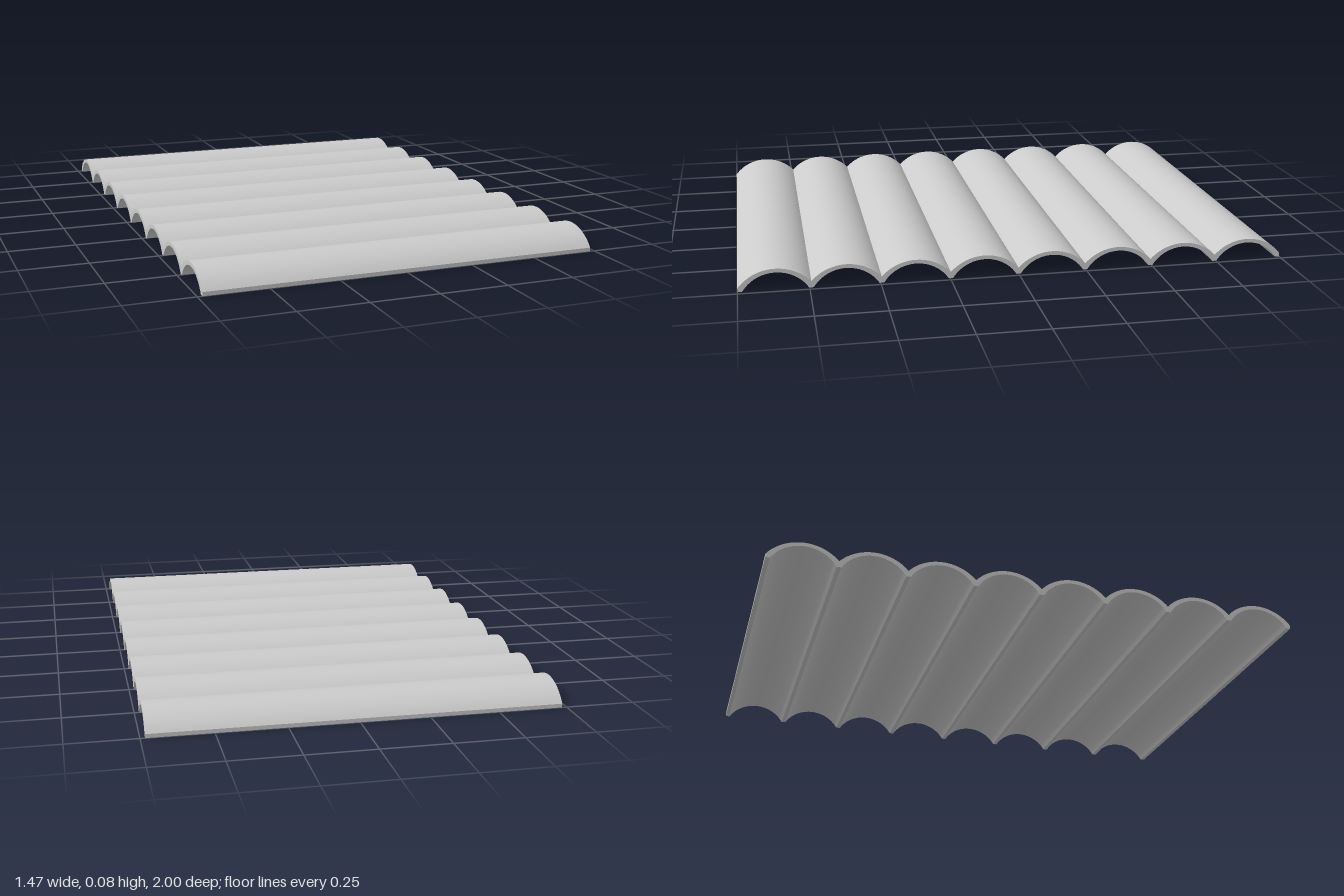
import * as THREE from 'three';
import { toCreasedNormals } from 'three/addons/utils/BufferGeometryUtils.js';

const WAVES = 8, PITCH = 0.248, LENGTH = 1.466;
const HEIGHT = 0.078, THICK = 0.014, FOOT = 0.016, STEPS = 24;

// points of a circular arc crowned at (cx, top), spanning offsets from..to
function arc(cx, top, radius, from, to) {
  const a0 = Math.asin(from / radius), a1 = Math.asin(to / radius);
  return Array.from({ length: STEPS + 1 }, (_, i) => {
    const a = a0 + ((a1 - a0) * i) / STEPS;
    return new THREE.Vector2(cx + radius * Math.sin(a), top - radius * (1 - Math.cos(a)));
  });
}

// radius of an arc with the given half chord and rise
const radiusOf = (half, rise) => (half * half + rise * rise) / (2 * rise);

export function createModel() {
  const group = new THREE.Group();
  const rise = HEIGHT - THICK;
  const outerHalf = (PITCH + FOOT) / 2, innerHalf = (PITCH - FOOT) / 2;
  const outerR = radiusOf(outerHalf, rise), innerR = radiusOf(innerHalf, rise);
  const centre = (i) => (i - (WAVES - 1) / 2) * PITCH;
  const end = (WAVES * PITCH + FOOT) / 2;

  // underside: inner arches separated by narrow flat feet
  const points = [new THREE.Vector2(-end, 0)];
  for (let i = 0; i < WAVES; i++) {
    points.push(...arc(centre(i), rise, innerR, -innerHalf, innerHalf));
  }
  points.push(new THREE.Vector2(end, 0));

  // top side: outer arches meeting in sharp valleys
  for (let i = WAVES - 1; i >= 0; i--) {
    const right = i === WAVES - 1 ? outerHalf : PITCH / 2;
    const left = i === 0 ? outerHalf : PITCH / 2;
    const crest = arc(centre(i), HEIGHT, outerR, right, -left);
    points.push(...(i === WAVES - 1 ? crest : crest.slice(1)));
  }

  // the wavy section runs along z and is extruded along x
  const geometry = new THREE.ExtrudeGeometry(new THREE.Shape(points), {
    depth: LENGTH, bevelEnabled: false,
  });
  geometry.translate(0, 0, -LENGTH / 2);
  geometry.rotateY(Math.PI / 2);

  const sheet = new THREE.Mesh(
    toCreasedNormals(geometry, 0.4),
    new THREE.MeshStandardMaterial({ color: 0xcccccc }),
  );
  sheet.name = 'corrugatedSheet';
  group.add(sheet);
  return group;
}
